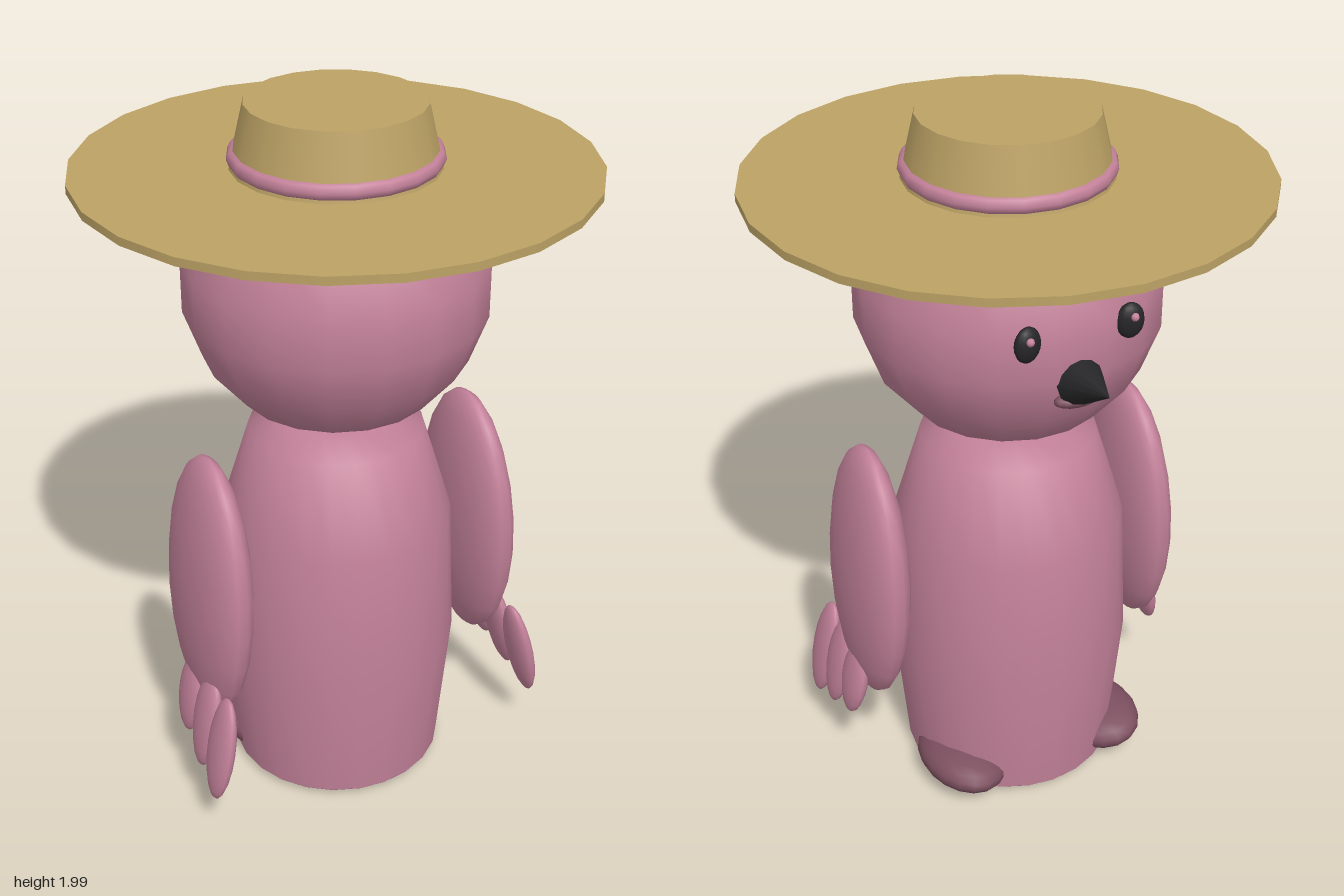
import * as THREE from 'three';

const mat = (name, color) => {
  const m = new THREE.MeshStandardMaterial({ color });
  m.name = name;
  return m;
};

export function createModel() {
  const pink = mat('pink', 0xc4829a);
  const darkPink = mat('dark pink', 0x7d5060);
  const straw = mat('straw', 0xbca265);
  const black = mat('black', 0x262628);

  const model = new THREE.Group();
  model.name = 'hattedBird';

  const add = (parent, name, geometry, material, [x, y, z] = [0, 0, 0], [rx, ry, rz] = [0, 0, 0]) => {
    const mesh = new THREE.Mesh(geometry, material);
    mesh.name = name;
    mesh.position.set(x, y, z);
    mesh.rotation.set(rx, ry, rz);
    parent.add(mesh);
    return mesh;
  };
  const ellipsoid = (a, b, c, w = 18, h = 11) => new THREE.SphereGeometry(1, w, h).scale(a, b, c);

  // Body: tapered barrel with rounded shoulders and a closed base
  const profile = [[0, 0.03], [0.3, 0.03], [0.303, 0.034], [0.338, 0.43], [0.32, 0.83], [0.24, 1.09], [0.13, 1.12], [0, 1.125]];
  add(model, 'body', new THREE.LatheGeometry(profile.map(p => new THREE.Vector2(...p)), 24), pink);

  // Head
  add(model, 'head', ellipsoid(0.41, 0.41, 0.41, 18, 9), pink, [0, 1.52, 0]);

  // Hat: flat brim, tapered crown and band
  const hat = new THREE.Group();
  hat.name = 'hat';
  model.add(hat);
  add(hat, 'brim', new THREE.CylinderGeometry(0.675, 0.675, 0.022, 24), straw, [0, 1.823, 0]);
  add(hat, 'crown', new THREE.CylinderGeometry(0.232, 0.272, 0.17, 20), straw, [0, 1.915, 0]);
  add(hat, 'hatBand', new THREE.TorusGeometry(0.253, 0.024, 8, 20), pink, [0, 1.86, 0], [Math.PI / 2, 0, 0]);

  // Beak and mouth, facing the back of the frame
  const beak = new THREE.ConeGeometry(0.064, 0.15, 12).rotateX(-Math.PI / 2);
  add(model, 'beak', beak, black, [0, 1.455, -0.468], [0.2, 0, 0]);
  add(model, 'mouth', ellipsoid(0.068, 0.022, 0.03, 14, 8), darkPink, [0, 1.39, -0.39]);

  // Paired parts
  for (const s of [-1, 1]) {
    add(model, 'eye', ellipsoid(0.037, 0.048, 0.022, 14, 10), black, [s * 0.14, 1.57, -0.386], [0, s * 0.15, 0]);
    add(model, 'eyeHighlight', ellipsoid(0.011, 0.011, 0.011, 8, 6), pink, [s * 0.142, 1.587, -0.406]);

    const wing = new THREE.Group();
    wing.name = s > 0 ? 'leftWing' : 'rightWing';
    model.add(wing);
    add(wing, 'wing', ellipsoid(0.083, 0.398, 0.218), pink, [s * 0.41, 0.703, 0.04], [0, 0, s * 0.035]);

    // Three feather fingers, longest at the far end
    [[0.245, 0.31, 0.158], [0.14, 0.335, 0.146], [0.03, 0.355, 0.122]].forEach(([z, y, half], i) => {
      add(wing, 'feather' + (i + 1), ellipsoid(0.028, half, 0.065, 14, 10), pink,
        [s * (0.485 - i * 0.005), y, z], [-0.05, 0, s * 0.2]);
    });

    // Foot, toes slightly raised and turned out
    add(model, s > 0 ? 'leftFoot' : 'rightFoot', ellipsoid(0.125, 0.066, 0.185), darkPink,
      [s * 0.215, 0.082, -0.128], [0.12, -s * 0.1, s * 0.15]);
  }
  return model;
}
